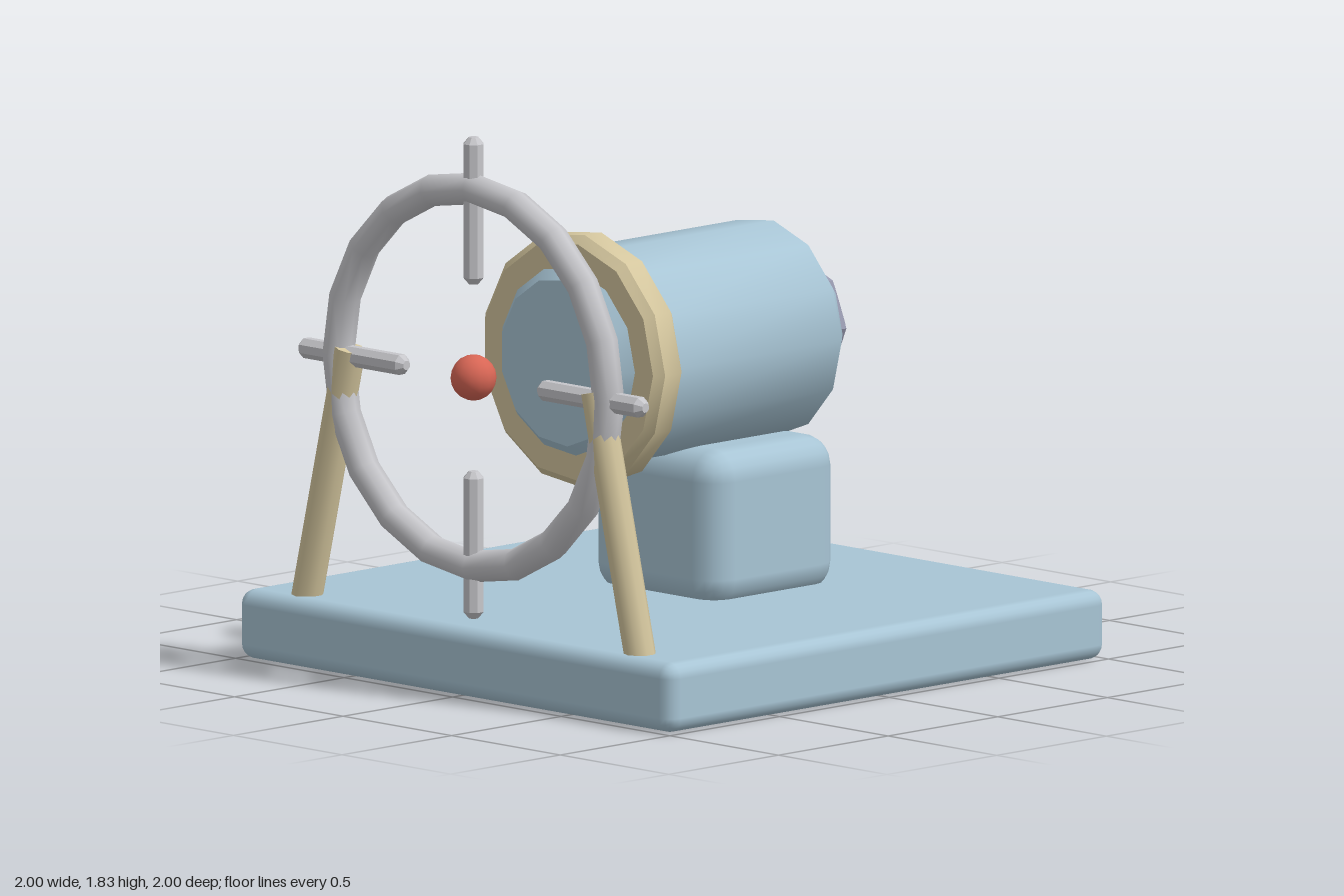
import * as THREE from 'three';
import { toCreasedNormals } from 'three/addons/utils/BufferGeometryUtils.js';
import { RoundedBoxGeometry } from 'three/addons/geometries/RoundedBoxGeometry.js';

const AXIS_Y = 1.04;
const WHEEL_Z = 0.905;

function material(name, color) {
  const m = new THREE.MeshStandardMaterial({ color });
  m.name = name;
  return m;
}

// Turned part: [radius, height] pairs from bottom to top, crisp at its bevels
function turned(profile, sides) {
  const points = profile.map(([r, h]) => new THREE.Vector2(r, h));
  const geometry = new THREE.LatheGeometry(points, sides, Math.PI / 2);
  return toCreasedNormals(geometry, Math.PI / 6);
}

export function createModel() {
  const model = new THREE.Group();
  model.name = 'model';
  const blue = material('paleBlue', 0xa8c5d5);
  const tan = material('tan', 0xd4c69e);
  const silver = material('silver', 0xc6c6ca);
  const slate = material('slate', 0x9698ae);
  const red = material('red', 0xd86655);

  function add(name, geometry, mat, x = 0, y = 0, z = 0) {
    const mesh = new THREE.Mesh(geometry, mat);
    mesh.name = name;
    mesh.position.set(x, y, z);
    model.add(mesh);
    return mesh;
  }

  // Base slab and the block carrying the barrel
  add('base', new RoundedBoxGeometry(2, 0.23, 2, 2, 0.05), blue, 0, 0.115, 0);
  add('supportBlock', new RoundedBoxGeometry(0.59, 0.52, 0.59, 2, 0.1), blue, 0, 0.458, -0.193);

  // Barrel, collar and rear knob, turned around the z axis
  const barrelParts = [
    ['barrel', blue, 13, [[0, -0.505], [0.275, -0.505], [0.358, -0.42], [0.358, 0.425], [0.275, 0.51], [0, 0.51]]],
    ['collar', tan, 13, [[0.28, 0.345], [0.392, 0.345], [0.42, 0.373], [0.42, 0.447], [0.392, 0.475], [0.28, 0.475]]],
    ['rearKnob', slate, 8, [[0, -0.662], [0.128, -0.662], [0.212, -0.585], [0.212, -0.535], [0.185, -0.505], [0, -0.49]]],
  ];
  for (const [name, mat, sides, profile] of barrelParts) {
    add(name, turned(profile, sides), mat, 0, AXIS_Y, 0).rotation.x = Math.PI / 2;
  }

  // Sighting ring with a ball at its centre
  add('ring', new THREE.TorusGeometry(0.622, 0.052, 8, 20), silver, 0, AXIS_Y, WHEEL_Z);
  add('centreBall', new THREE.SphereGeometry(0.075, 14, 10), red, 0, AXIS_Y, WHEEL_Z);

  // Four short bars crossing the ring
  const bar = turned([[0, -0.242], [0.016, -0.242], [0.035, -0.22], [0.035, 0.22], [0.016, 0.242], [0, 0.242]], 8);
  bar.rotateY(Math.PI / 8);
  for (let i = 0; i < 4; i++) {
    const a = i * Math.PI / 2;
    const mesh = add('crossBar' + (i + 1), bar, silver, 0.55 * Math.cos(a), AXIS_Y + 0.55 * Math.sin(a), WHEEL_Z);
    mesh.rotation.z = a - Math.PI / 2;
  }

  // Legs leaning in to hold the ring
  for (const side of [1, -1]) {
    const foot = new THREE.Vector3(side * 0.777, 0.18, WHEEL_Z);
    const head = new THREE.Vector3(side * 0.568, 1.065, WHEEL_Z);
    const leg = add(side > 0 ? 'leftLeg' : 'rightLeg',
      new THREE.CylinderGeometry(0.052, 0.052, foot.distanceTo(head), 10), tan);
    leg.position.copy(foot).lerp(head, 0.5);
    leg.quaternion.setFromUnitVectors(new THREE.Vector3(0, 1, 0), head.clone().sub(foot).normalize());
  }

  return model;
}
